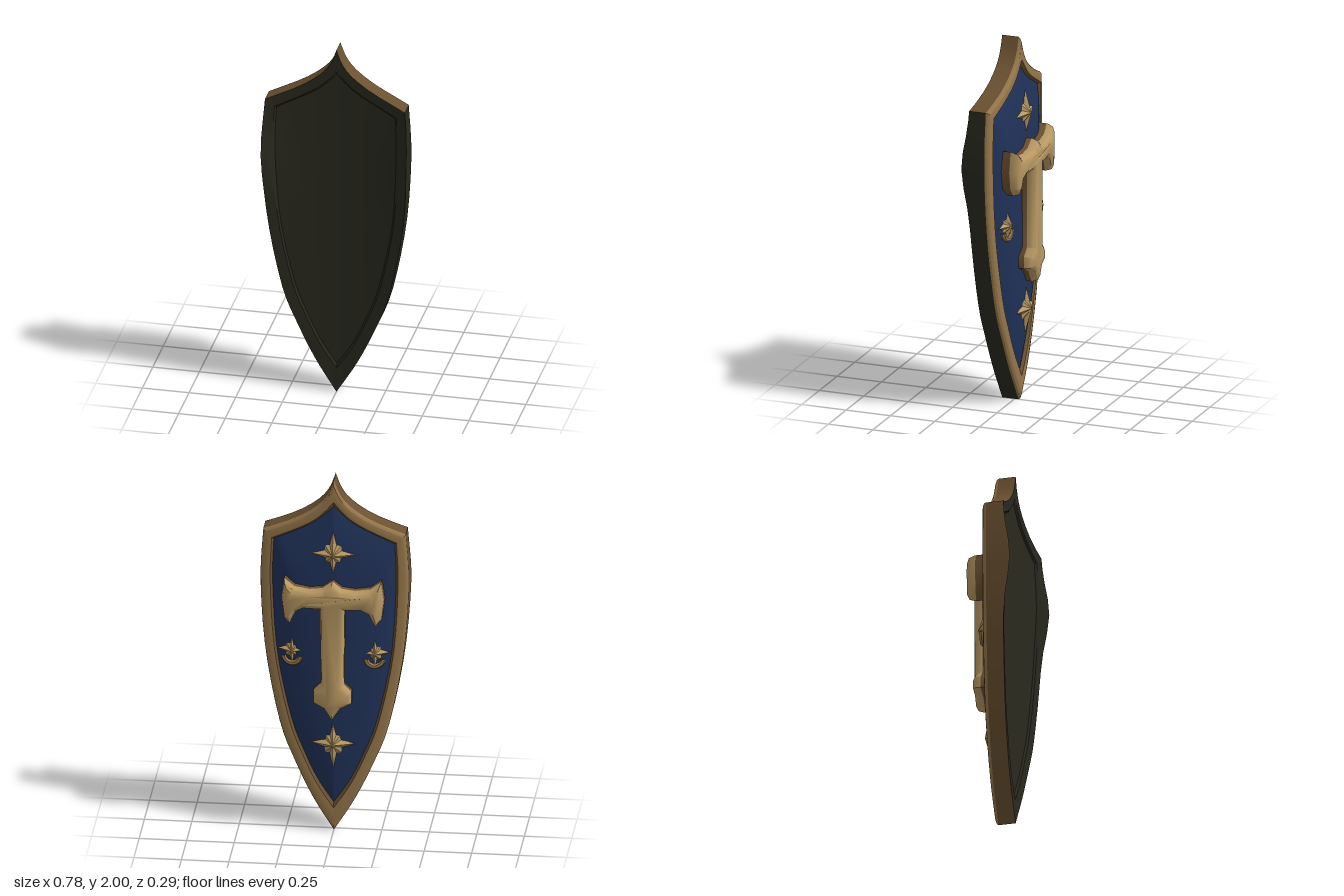
import * as THREE from 'three';
import { toCreasedNormals } from 'three/addons/utils/BufferGeometryUtils.js';

const paint = (name, color) => {
  const m = new THREE.MeshStandardMaterial({ color });
  m.name = name;
  return m;
};
const v2 = ([x, y]) => new THREE.Vector2(x, y);

// The whole shield is bowed: surfaces sweep forward (+z) towards the sides,
// and the front-facing flange is deepest at the widest point.
const bow = (x) => 0.25 * x * x;
const flare = (x, y) => 0.038 * Math.exp(-(((y - 1.36) / 0.2) ** 2)) * Math.min(1, Math.abs(x) / 0.39) ** 8;

const TOP = 10, SIDE = 22, HALF = TOP + SIDE;

// Closed outline from the right half: top curve, then side curve, then mirrored
function outline(top, side) {
  const half = [
    ...new THREE.SplineCurve(top.map(v2)).getPoints(TOP),
    ...new THREE.SplineCurve(side.map(v2)).getPoints(SIDE).slice(1),
  ];
  const mirrored = half.map((p) => new THREE.Vector2(-p.x, p.y));
  return [...mirrored, ...half.slice(1, -1).reverse()];
}

const outer = outline(
  [[0, 2], [0.03, 1.92], [0.085, 1.85], [0.2, 1.77], [0.375, 1.69]],
  [[0.375, 1.69], [0.39, 1.4], [0.363, 1], [0.287, 0.6], [0.205, 0.38], [0.11, 0.18], [0, 0]],
);
const inner = outline(
  [[0, 1.85], [0.05, 1.8], [0.11, 1.75], [0.2, 1.7], [0.318, 1.64]],
  [[0.318, 1.64], [0.325, 1.4], [0.3, 1], [0.225, 0.63], [0.155, 0.44], [0.085, 0.29], [0, 0.16]],
);
const centre = new THREE.Vector2(0, 1.1);

// Ring between the outer (t = 0) and inner (t = 1) outlines; t > 1 runs to the centre at t = 2
function ring(t, z) {
  return outer.map((o, i) => {
    const p = t <= 1 ? o.clone().lerp(inner[i], t) : inner[i].clone().lerp(centre, t - 1);
    return [p.x, p.y, z + bow(p.x) + (z > 0 ? flare(p.x, p.y) : 0)];
  });
}

// Skin a series of rings, keeping only the segments that pass the filter
function loft(name, profile, material, keep = () => true) {
  const rings = profile.map(([t, z]) => ring(t, z));
  const pos = [];
  for (let r = 0; r < rings.length - 1; r++) {
    for (let i = 0; i < outer.length; i++) {
      if (!keep(i)) continue;
      const j = (i + 1) % outer.length;
      const [a, b, c, d] = [rings[r][i], rings[r][j], rings[r + 1][j], rings[r + 1][i]];
      pos.push(...a, ...b, ...c, ...a, ...c, ...d);
    }
  }
  const g = new THREE.BufferGeometry();
  g.setAttribute('position', new THREE.Float32BufferAttribute(pos, 3));
  return part(name, toCreasedNormals(g, 0.45), material);
}

function part(name, geometry, material) {
  const m = new THREE.Mesh(geometry, material);
  m.name = name;
  return m;
}

function bowGeometry(g) {
  const p = g.attributes.position;
  for (let i = 0; i < p.count; i++) p.setZ(i, p.getZ(i) + bow(p.getX(i)));
  const flat = g.index ? g.toNonIndexed() : g;
  flat.computeVertexNormals();
  return flat;
}

// Raised star: a shallow cone whose rim radius alternates between long, short and waist points
function star(name, x, y, z, width, height, depth, material) {
  const g = new THREE.ConeGeometry(1, depth, 16, 1, true);
  const p = g.attributes.position;
  for (let i = 0; i < p.count; i++) {
    const k = i % 17;
    const s = k % 4 === 0 ? 1 : k % 4 === 2 ? 0.52 : 0.42;
    p.setX(i, p.getX(i) * s * width);
    p.setZ(i, p.getZ(i) * s * height);
  }
  g.rotateX(-Math.PI / 2).translate(x, y, z - depth / 2);
  return part(name, bowGeometry(g), material);
}

// Relief cut from a mirrored half outline, raised towards -z, with optional chamfer
function relief(name, half, base, depth, bevelSize, bevelThickness, material) {
  const pts = [...half.map(v2), ...half.slice(1, -1).reverse().map(([x, y]) => v2([-x, y]))];
  const g = new THREE.ExtrudeGeometry(new THREE.Shape(pts), {
    depth, bevelEnabled: bevelSize > 0, bevelThickness, bevelSize,
    bevelOffset: -bevelSize, bevelSegments: 2,
  });
  g.rotateY(Math.PI).translate(0, 0, base);
  return part(name, toCreasedNormals(bowGeometry(g), 0.8), material);
}

export function createModel() {
  const gold = paint('gold', 0xb89862);
  const agedGold = paint('aged gold', 0x95764a);
  const bronze = paint('bronze', 0x6b5131);
  const blue = paint('navy blue', 0x203259);
  const olive = paint('dark olive', 0x29291f);

  const shield = new THREE.Group();
  shield.name = 'shield';

  // Decorated face: domed field inside a rounded rim
  shield.add(loft('field', [[2, -0.071], [1.6, -0.068], [1.3, -0.06], [1.12, -0.046], [1, -0.026]], blue));
  shield.add(loft('rimInnerBevel', [[1, -0.026], [0.82, -0.041]], bronze));
  shield.add(loft('rimFace', [[0.82, -0.041], [0.5, -0.044], [0.2, -0.04]], agedGold));
  shield.add(loft('rimOuterBevel', [[0.2, -0.04], [0.05, -0.032], [0, -0.022]], agedGold));

  // Edge walls: one lower side is dark, the rest is bronze
  const dark = (i) => i >= HALF && i < HALF + SIDE;
  const wall = [[0, -0.022], [0, 0.07]];
  shield.add(loft('edge', wall, bronze, (i) => !dark(i)));
  shield.add(loft('darkEdge', wall, olive, dark));

  // Hollow face: flat border and shallow recessed panel
  shield.add(loft('hollowFace', [[0, 0.07], [0.85, 0.068], [1, 0.058], [1.3, 0.057], [1.6, 0.057], [2, 0.058]], olive));

  // Hammer relief: slim flared head, low pointed cap, long shaft and pommel
  const hammer = [
    [0, 1.45], [0.05, 1.41], [0.12, 1.4], [0.2, 1.41], [0.255, 1.45], [0.27, 1.34], [0.258, 1.24],
    [0.225, 1.2], [0.188, 1.275], [0.15, 1.295], [0.065, 1.295], [0.06, 0.865], [0.1, 0.825], [0.1, 0.76], [0.045, 0.73], [0, 0.66],
  ];
  shield.add(relief('hammerBase', hammer, -0.03, 0.065, 0, 0, bronze));
  shield.add(relief('hammer', hammer, -0.094, 0.006, 0.029, 0.044, gold));

  // Stars above and below the hammer
  shield.add(star('upperStar', 0, 1.59, -0.058, 0.115, 0.13, 0.037, gold));
  shield.add(star('lowerStar', 0, 0.51, -0.058, 0.115, 0.14, 0.039, gold));

  // Side ornaments: small star with a curled hook beneath
  for (const s of [-1, 1]) {
    const name = s > 0 ? 'left' : 'right';
    shield.add(star(name + 'Ornament', s * 0.218, 1.03, -0.05, 0.08, 0.1, 0.036, gold));
    const hook = new THREE.TorusGeometry(0.045, 0.014, 6, 12, Math.PI);
    hook.rotateZ(Math.PI).translate(s * 0.218, 1.0, -0.06);
    shield.add(part(name + 'Hook', bowGeometry(hook), agedGold));
  }
  return shield;
}
